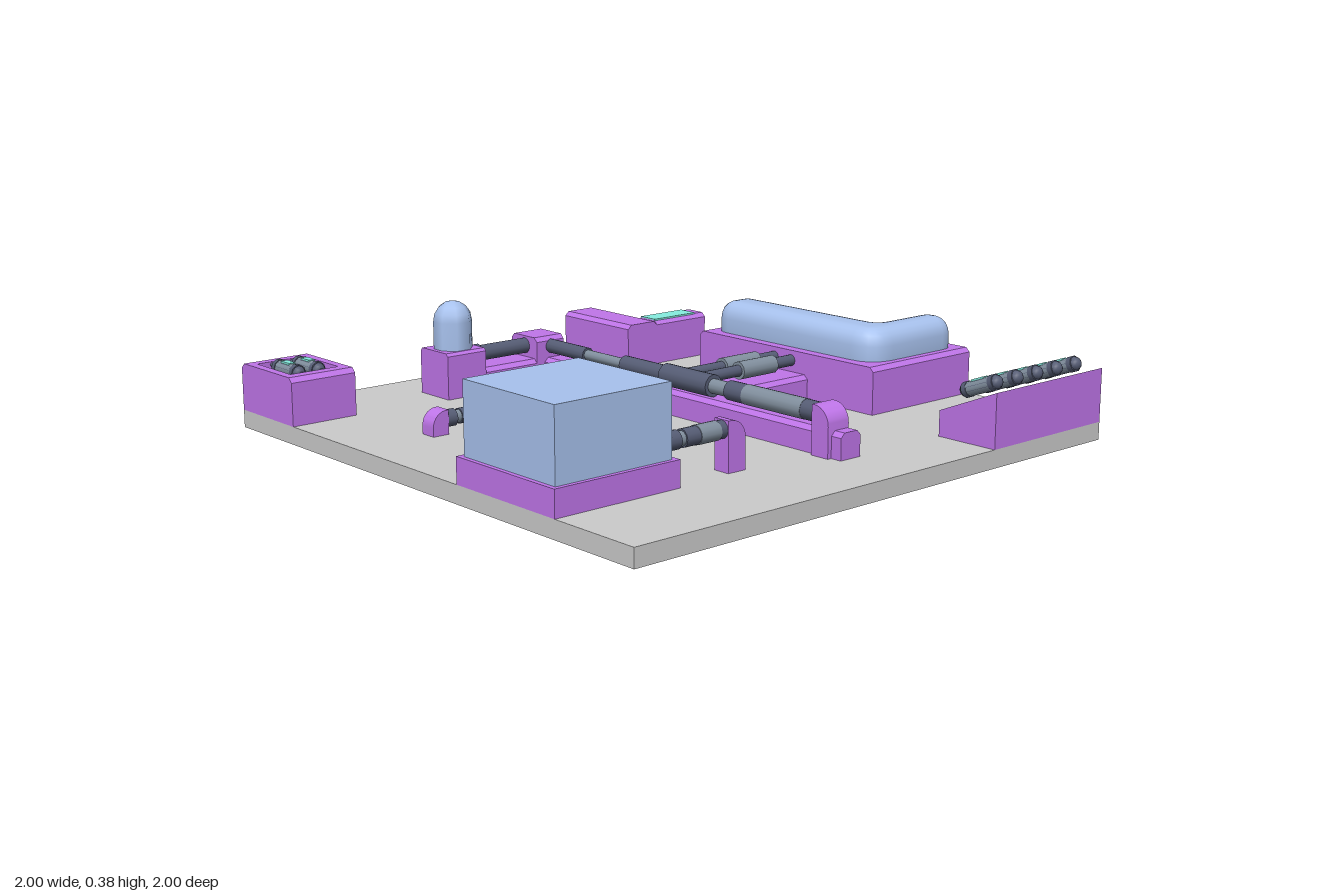
import * as THREE from 'three';
import { toCreasedNormals } from 'three/addons/utils/BufferGeometryUtils.js';

const mat = (color) => new THREE.MeshStandardMaterial({ color });
const grey = mat(0xcccccc), purple = mat(0xc076ea), blue = mat(0xa8c2ee);
const dark = mat(0x565d75), steel = mat(0x82909f), teal = mat(0x86eee0);
const FLOOR = 0.06, V = (x, y, z) => new THREE.Vector3(x, y, z);

export function createModel() {
  const root = new THREE.Group();

  const add = (name, geo, material, parent = root) => {
    const m = new THREE.Mesh(geo, material);
    m.name = name;
    parent.add(m);
    return m;
  };
  const group = (name) => {
    const g = new THREE.Group();
    g.name = name;
    root.add(g);
    return g;
  };
  const box = (name, x0, x1, y0, y1, z0, z1, material, parent) =>
    add(name, new THREE.BoxGeometry(x1 - x0, y1 - y0, z1 - z0)
      .translate((x0 + x1) / 2, (y0 + y1) / 2, (z0 + z1) / 2), material, parent);
  // Outline in x/y, extruded from z0 to z1
  const prism = (name, pts, z0, z1, parent) =>
    add(name, new THREE.ExtrudeGeometry(
      new THREE.Shape(pts.map((p) => new THREE.Vector2(p[0], p[1]))),
      { depth: z1 - z0, bevelEnabled: false }).translate(0, 0, z0), purple, parent);
  // Block whose two upper long edges are chamfered
  const block = (name, x0, x1, top, z0, z1, c = 0.015, parent = root) =>
    prism(name, [[x0, FLOOR], [x1, FLOOR], [x1, top - c], [x1 - c, top],
      [x0 + c, top], [x0, top - c]], z0, z1, parent);
  const blockX = (name, x0, x1, top, z0, z1, c = 0.015) => {
    const m = block(name, -z1, -z0, top, x0, x1, c);
    m.rotation.y = Math.PI / 2;
    return m;
  };
  // Chain of cylinders along one axis; segments are [start, end, radius, material]
  const pipe = (name, axis, fixed, segments) => {
    const g = group(name);
    for (const [a, b, r, m] of segments) {
      const geo = new THREE.CylinderGeometry(r, r, b - a, 12);
      if (axis === 'x') geo.rotateZ(-Math.PI / 2).translate((a + b) / 2, fixed.y, fixed.z);
      else geo.rotateX(Math.PI / 2).translate(fixed.x, fixed.y, (a + b) / 2);
      add('pipeSection', geo, m, g);
    }
    return g;
  };
  // Pipe support rounded on the outer upper corner; the outer face is at local +x
  const elbow = (name, length, width, top, x, z, turn) => {
    const r = Math.min(length, top - FLOOR) * 0.85;
    const s = new THREE.Shape();
    s.moveTo(-length / 2, FLOOR);
    s.lineTo(length / 2, FLOOR);
    s.lineTo(length / 2, top - r);
    s.absarc(length / 2 - r, top - r, r, 0, Math.PI / 2, false);
    s.lineTo(-length / 2, top);
    const m = add(name, toCreasedNormals(new THREE.ExtrudeGeometry(s,
      { depth: width, bevelEnabled: false, curveSegments: 5 })
      .translate(0, 0, -width / 2), 0.6), purple);
    m.position.set(x, 0, z);
    m.rotation.y = turn;
  };
  // Small glowing canister lying along x
  const canister = (x, y, z, tilt) => {
    const g = group('canister');
    add('shell', new THREE.CapsuleGeometry(0.024, 0.12, 4, 10).rotateZ(Math.PI / 2), dark, g);
    add('sleeve', new THREE.CylinderGeometry(0.025, 0.025, 0.095, 10).rotateZ(Math.PI / 2), steel, g);
    add('window', new THREE.BoxGeometry(0.05, 0.014, 0.024).translate(0, 0.02, 0), teal, g);
    for (const s of [-1, 1]) {
      add('endRing', new THREE.CylinderGeometry(0.027, 0.027, 0.018, 10)
        .rotateZ(Math.PI / 2).translate(s * 0.055, 0, 0), dark, g);
    }
    g.position.set(x, y, z);
    g.rotation.z = tilt;
    return g;
  };

  box('floorSlab', -1, 1, 0, FLOOR, -1, 1, grey);

  // L-shaped plinth and its rounded tank
  block('tankPlinth', -0.39, 0.45, 0.22, -0.75, -0.51);
  block('tankPlinthArm', 0.23, 0.45, 0.22, -1, -0.74);
  const corners = [[-0.355, 0.55], [0.41, 0.55], [0.41, 0.97], [0.275, 0.97], [0.275, 0.715], [-0.355, 0.715]]
    .map((p) => new THREE.Vector2(p[0], p[1]));
  const radii = [0.066, 0.1, 0.066, 0.066, 0.01, 0.066];
  const outline = new THREE.Shape();
  corners.forEach((c, i) => {
    const toward = (q) => q.clone().sub(c).setLength(radii[i]).add(c);
    const a = toward(corners[(i + 5) % 6]), b = toward(corners[(i + 1) % 6]);
    if (i === 0) outline.moveTo(a.x, a.y); else outline.lineTo(a.x, a.y);
    outline.quadraticCurveTo(c.x, c.y, b.x, b.y);
  });
  outline.closePath();
  add('tank', toCreasedNormals(new THREE.ExtrudeGeometry(outline, {
    depth: 0.05, bevelThickness: 0.06, bevelSize: 0.055, bevelOffset: -0.055, bevelSegments: 5, curveSegments: 5,
  }).rotateX(-Math.PI / 2).translate(0, 0.22, 0), 0.7), blue);

  // Pipe channels and their raised corner
  block('tankChannel', -0.085, 0.15, 0.145, -0.52, -0.09);
  blockX('mainChannel', -0.81, 0.775, 0.145, -0.1, -0.015);
  block('domeChannel', -0.805, -0.665, 0.145, 0, 0.26);
  block('channelCorner', -0.81, -0.665, 0.22, -0.1, 0.02);
  elbow('mainPipeEnd', 0.07, 0.09, 0.22, 0.7, -0.045, 0);
  pipe('mainPipe', 'x', V(0, 0.185, -0.045), [
    [-0.67, -0.46, 0.025, dark], [-0.46, -0.26, 0.018, steel], [-0.26, -0.05, 0.03, dark],
    [-0.05, 0.18, 0.038, dark], [0.18, 0.26, 0.025, steel], [0.26, 0.34, 0.033, dark],
    [0.34, 0.6, 0.034, steel], [0.6, 0.68, 0.033, dark]]);
  for (const x of [-0.01, 0.07]) {
    pipe('tankPipe', 'z', V(x, 0.185, 0), [[-0.52, -0.05, 0.02, dark], [-0.42, -0.26, 0.031, steel]]);
  }

  // Domed valve
  block('domeBase', -0.815, -0.655, 0.22, 0.25, 0.41, 0.01);
  pipe('domePipe', 'z', V(-0.735, 0.185, 0), [[0.01, 0.26, 0.028, dark], [0.225, 0.26, 0.034, dark]]);
  const dome = [[0.068, 0.215], [0.068, 0.315], [0.063, 0.342], [0.048, 0.365], [0.026, 0.38], [0, 0.385]];
  add('dome', new THREE.LatheGeometry(dome.map((p) => new THREE.Vector2(p[0], p[1])), 8)
    .rotateY(Math.PI / 8).translate(-0.735, 0, 0.33), blue);

  // Low vented platform with its side pipe
  box('ventPlatform', -0.335, 0.225, FLOOR, 0.14, 0.265, 0.485, purple);
  box('ventPlatformEnd', 0.225, 0.29, FLOOR, 0.14, 0.265, 0.485, purple);
  box('ventPlate', -0.135, 0.025, 0.13, 0.143, 0.28, 0.475, dark);
  for (let i = 0; i < 6; i++) {
    const x = -0.121 + i * 0.0265;
    box('ventSlat', x - 0.007, x + 0.007, 0.14, 0.15, 0.285, 0.47, dark);
  }
  pipe('sidePipe', 'z', V(-0.305, 0.105, 0), [
    [0.485, 0.5, 0.031, dark], [0.5, 0.575, 0.029, steel], [0.575, 0.62, 0.026, dark],
    [0.62, 0.64, 0.022, steel], [0.64, 0.69, 0.029, dark]]);
  elbow('sidePipeEnd', 0.06, 0.06, 0.14, -0.305, 0.708, -Math.PI / 2);

  // Large cube on its tray, fed by two pipes
  box('cubeTray', 0.215, 0.67, FLOOR, 0.145, 0.54, 1, purple);
  box('cube', 0.235, 0.655, 0.14, 0.375, 0.56, 0.985, blue);
  for (const x of [0.262, 0.622]) {
    elbow('cubePipeEnd', 0.07, 0.06, 0.22, x, 0.3, Math.PI / 2);
    pipe('cubePipe', 'z', V(x, 0.19, 0), [
      [0.33, 0.36, 0.029, dark], [0.36, 0.44, 0.031, steel], [0.44, 0.495, 0.029, dark],
      [0.495, 0.515, 0.024, steel], [0.515, 0.57, 0.03, dark]]);
  }

  // Front corner crate with a recess for two canisters
  block('crateEnd', -1, -0.685, 0.22, 0.76, 0.79, 0.016);
  block('crateEnd', -1, -0.685, 0.22, 0.97, 1, 0.016);
  prism('crateBody', [[-1, FLOOR], [-0.685, FLOOR], [-0.685, 0.204], [-0.701, 0.22], [-0.74, 0.22],
    [-0.74, 0.19], [-0.95, 0.19], [-0.95, 0.22], [-0.984, 0.22], [-1, 0.204]], 0.79, 0.97);
  for (const z of [0.84, 0.915]) {
    canister(-0.845, 0.21, z, 0);
    pipe('canisterPin', 'x', V(0, 0.21, z), [[-0.95, -0.74, 0.007, dark]]);
  }

  // Angled console with a lit panel
  blockX('console', -0.99, -0.625, 0.22, -0.51, -0.37);
  block('consoleArm', -0.73, -0.625, 0.22, -0.75, -0.51);
  box('consolePanel', -0.715, -0.638, 0.2, 0.224, -0.71, -0.51, teal);

  // Sloped rack with five canisters
  prism('rack', [[0.775, FLOOR], [1, FLOOR], [1, 0.24], [0.775, 0.145]], -1, -0.465);
  for (let i = 0; i < 5; i++) canister(0.878, 0.23, -0.94 + i * 0.1, 0.37);

  return root;
}
